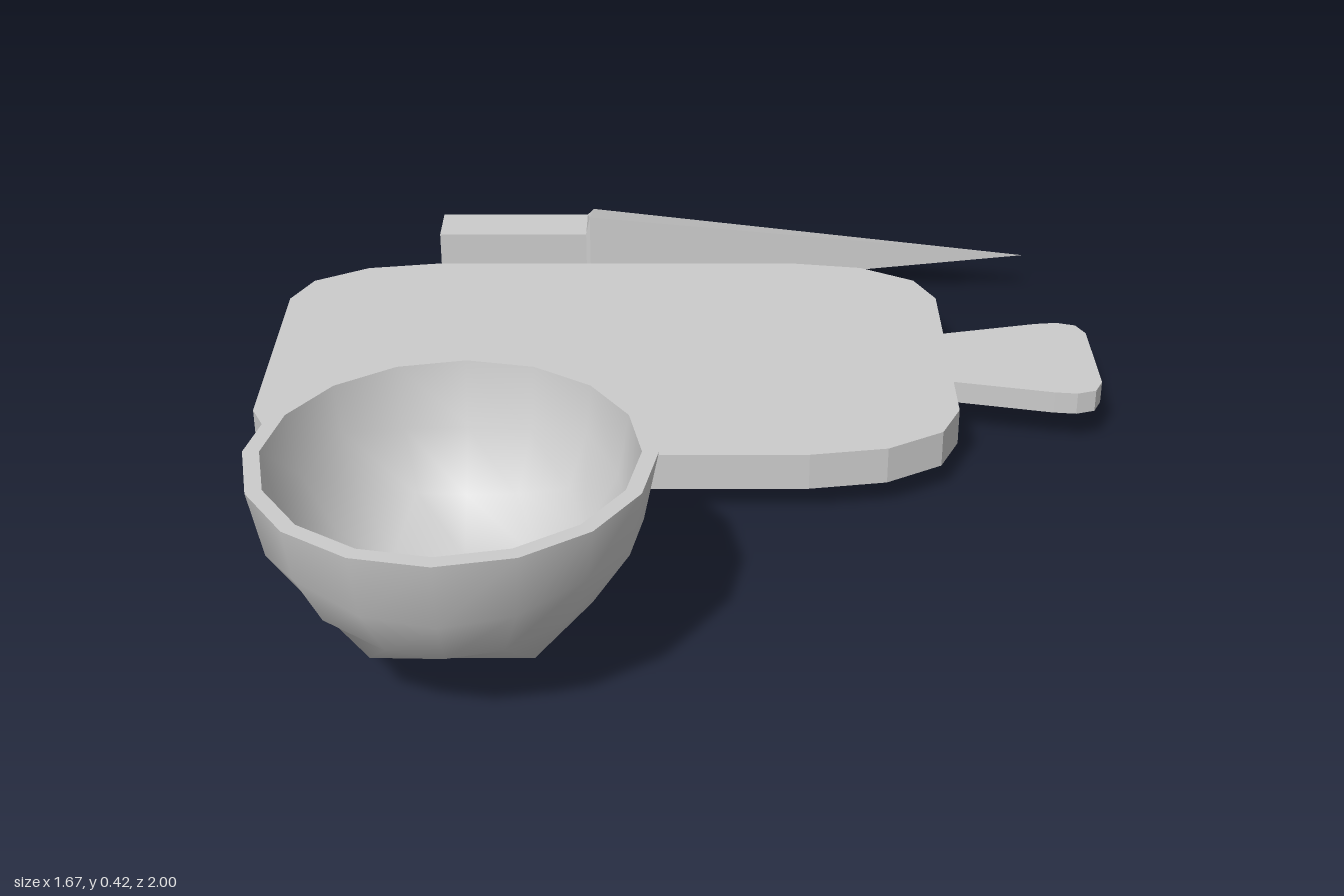
import * as THREE from 'three';
import { mergeVertices } from 'three/addons/utils/BufferGeometryUtils.js';
import { ConvexGeometry } from 'three/addons/geometries/ConvexGeometry.js';

const material = new THREE.MeshStandardMaterial({ color: 0xcccccc });

function addMesh(parent, name, geometry) {
  const mesh = new THREE.Mesh(geometry, material);
  mesh.name = name;
  parent.add(mesh);
  return mesh;
}

// Flat slab from an outline given as [x, z] points, between two heights
function slab(points, y0, y1) {
  const shape = new THREE.Shape(points.map(([x, z]) => new THREE.Vector2(x, -z)));
  return new THREE.ExtrudeGeometry(shape, { depth: y1 - y0, bevelEnabled: false })
    .rotateX(-Math.PI / 2).translate(0, y0, 0);
}

// Lower half of a cube-sphere with a flattened square foot, open at the top
function halfBowl(radius, inward) {
  const box = new THREE.BoxGeometry(2, 1, 2, 4, 2, 4).translate(0, -0.5, 0);
  const top = box.groups[2];
  let index = Array.from(box.index.array);
  index.splice(top.start, top.count);
  if (inward) index.reverse();
  box.setIndex(index);
  box.clearGroups();
  box.deleteAttribute('uv');
  box.deleteAttribute('normal');

  const pos = box.attributes.position;
  const v = new THREE.Vector3();
  const bend = (t) => Math.tan(t * Math.PI / 4);
  for (let i = 0; i < pos.count; i++) {
    v.fromBufferAttribute(pos, i);
    const foot = v.y < -0.99 && Math.abs(v.x) < 0.6 && Math.abs(v.z) < 0.6;
    if (foot) v.set(v.x * 0.8, -0.922, v.z * 0.8);
    else v.set(bend(v.x), bend(v.y), bend(v.z)).normalize();
    pos.setXYZ(i, v.x * radius, v.y * radius, v.z * radius);
  }
  const shell = mergeVertices(box, 1e-4);
  shell.computeVertexNormals();
  return shell;
}

export function createModel() {
  const model = new THREE.Group();
  model.name = 'choppingSet';

  // Cutting board with elliptical corners in three facets
  const board = new THREE.Group();
  board.name = 'cuttingBoard';
  model.add(board);
  const midZ = -0.22;
  const outline = [];
  [[1, 1], [-1, 1], [-1, -1], [1, -1]].forEach(([sx, sz], corner) => {
    for (let k = 0; k <= 3; k++) {
      const a = (corner + k / 3) * Math.PI / 2;
      outline.push([
        -0.1525 + sx * 0.3875 + 0.3 * Math.cos(a),
        midZ + sz * 0.24 + 0.17 * Math.sin(a),
      ]);
    }
  });
  addMesh(board, 'boardSlab', slab(outline, 0.06, 0.135));

  // Flared board handle, mirrored about the board's centre line
  const side = [[0.52, 0.1], [0.535, 0.103], [0.735, 0.147], [0.78, 0.152], [0.818, 0.14], [0.835, 0.105]];
  const handle = [
    ...side.map(([x, w]) => [x, midZ + w]),
    ...side.map(([x, w]) => [x, midZ - w]).reverse(),
  ];
  addMesh(board, 'boardHandle', slab(handle, 0.076, 0.122));

  // Knife: square grip and a wedge blade tapering to a point
  const knife = new THREE.Group();
  knife.name = 'knife';
  model.add(knife);
  addMesh(knife, 'knifeGrip', new THREE.BoxGeometry(0.33, 0.104, 0.106))
    .position.set(-0.382, 0.097, -0.803);
  const blade = [
    [-0.211, 0.002, -0.747], [-0.211, 0.192, -0.747], [-0.212, 0.097, -1], [0.76, 0.097, -0.75],
    [-0.22, 0.045, -0.75], [-0.22, 0.149, -0.75], [-0.22, 0.045, -0.856], [-0.22, 0.149, -0.856],
  ].map((p) => new THREE.Vector3(...p));
  addMesh(knife, 'knifeBlade', new ConvexGeometry(blade));

  // Bowl: outer and inner shells joined by a flat rim
  const bowl = new THREE.Group();
  bowl.name = 'bowl';
  bowl.position.set(-0.385, 0.42, 0.657);
  model.add(bowl);
  const outer = 0.342, inner = 0.314;
  addMesh(bowl, 'bowlOutside', halfBowl(outer, false));
  addMesh(bowl, 'bowlInside', halfBowl(inner, true));
  addMesh(bowl, 'bowlRim', new THREE.RingGeometry(inner, outer, 16, 1).rotateX(-Math.PI / 2));

  return model;
}
